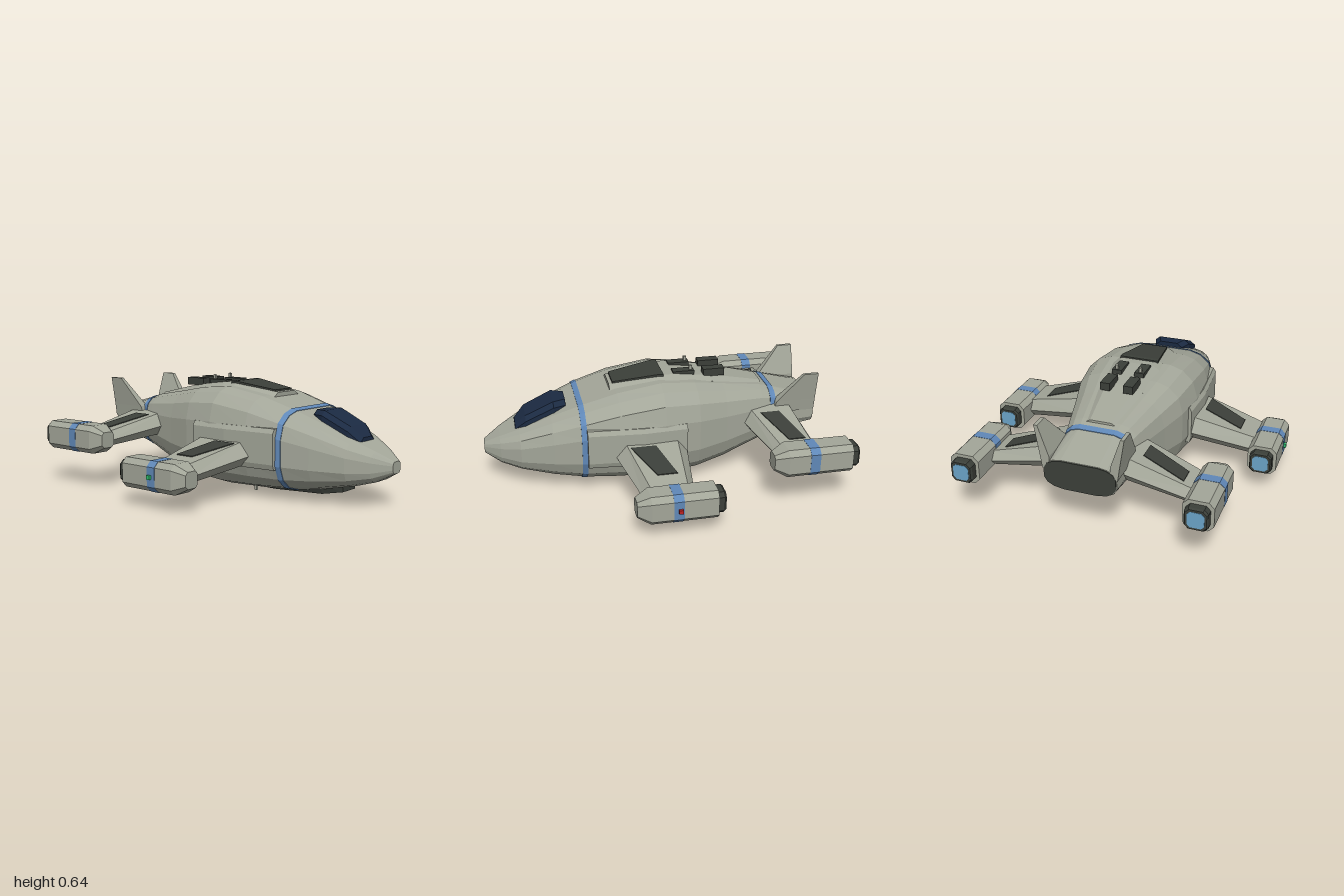
import * as THREE from 'three';

const mat = (color) => new THREE.MeshStandardMaterial({ color, flatShading: true });
const HULL = mat(0xa3a699), DARK = mat(0x3b3f39), STRIPE = mat(0x6088b8), GLASS = mat(0x1b2a42);
const GLOW = mat(0x6aa3c8), RED = mat(0xc02020), GREEN = mat(0x30c070);
const lerp = THREE.MathUtils.lerp;

// Skin a list of equal-length rings of [x, y, z] and cap both ends
function loft(name, rings, material) {
  const n = rings[0].length, pos = rings.flat(2), idx = [];
  for (let i = 0; i < rings.length - 1; i++) {
    for (let j = 0; j < n; j++) {
      const a = i * n + j, b = i * n + (j + 1) % n;
      idx.push(a, a + n, b, b, a + n, b + n);
    }
  }
  const last = (rings.length - 1) * n;
  for (let j = 1; j < n - 1; j++) idx.push(0, j, j + 1, last, last + j + 1, last + j);
  // Turn the faces outward whatever the direction of the rings
  const p = (i) => new THREE.Vector3().fromArray(pos, i * 3);
  let volume = 0;
  for (let i = 0; i < idx.length; i += 3) volume += p(idx[i]).dot(p(idx[i + 1]).cross(p(idx[i + 2])));
  if (volume < 0) idx.reverse();
  let geo = new THREE.BufferGeometry();
  geo.setAttribute('position', new THREE.Float32BufferAttribute(pos, 3));
  geo.setIndex(idx);
  geo = geo.toNonIndexed();
  geo.computeVertexNormals();
  const mesh = new THREE.Mesh(geo, material);
  mesh.name = name;
  return mesh;
}

function box(name, x, y, z, w, h, d, material) {
  const mesh = new THREE.Mesh(new THREE.BoxGeometry(w, h, d), material);
  mesh.position.set(x, y, z);
  mesh.name = name;
  return mesh;
}

// Hull stations: z, half width, top, bottom
const STATIONS = [
  [1, 0.04, 0.25, 0.185], [0.91, 0.12, 0.3, 0.135], [0.8, 0.195, 0.35, 0.105], [0.62, 0.262, 0.43, 0.07],
  [0.45, 0.312, 0.495, 0.048], [0.25, 0.34, 0.555, 0.037], [0, 0.345, 0.595, 0.03], [-0.2, 0.32, 0.577, 0.045],
  [-0.37, 0.27, 0.545, 0.08], [-0.6, 0.21, 0.505, 0.16], [-0.67, 0.192, 0.485, 0.185], [-0.91, 0.2, 0.42, 0.25],
];
// Half of the hull section: fraction of half width, fraction of height
const SECTION = [[0.45, 0], [0.72, 0.055], [0.91, 0.17], [1, 0.34], [1, 0.67], [0.92, 0.85], [0.74, 0.955], [0.52, 1]];

function hullRing(z, grow = 0) {
  const i = Math.max(0, STATIONS.findIndex((s, k) => k < STATIONS.length - 1 && z >= STATIONS[k + 1][0]));
  const a = STATIONS[i], b = STATIONS[i + 1], t = (a[0] - z) / (a[0] - b[0]);
  const [w, top, bottom] = [1, 2, 3].map((k) => lerp(a[k], b[k], t));
  const half = SECTION.map(([u, v]) => [u * (w + grow), lerp(bottom - grow, top + grow, v), z]);
  return [...half, ...half.map(([x, y]) => [-x, y, z]).reverse()];
}

// Raised panel section with chamfered upper edges
const raisedRing = (z, w, top, base, inset = 0.04) => [
  [w, base, z], [w, top - 0.025, z], [w - inset, top, z], [inset - w, top, z], [-w, top - 0.025, z], [-w, base, z]];

// Square section with cut corners
function podRing(x, y, z, h, c) {
  return [[h, c - h], [h, h - c], [h - c, h], [c - h, h], [-h, h - c], [-h, c - h], [c - h, -h], [h - c, -h]]
    .map(([u, v]) => [x + u, y + v, z]);
}

function pod(name, x, y, front, back) {
  const g = new THREE.Group();
  g.name = name;
  const tube = (part, zs, hs, m) => g.add(loft(part, zs.map((z, i) => podRing(x, y, z, hs[i], hs[i] * 0.36)), m));
  const mid = (front + back) / 2;
  tube('podBody', [front, front - 0.07, back + 0.045], [0.045, 0.081, 0.081], HULL);
  tube('podNozzle', [back + 0.06, back + 0.01, back], [0.062, 0.062, 0.055], DARK);
  tube('podGlow', [back + 0.01, back - 0.002], [0.044, 0.044], GLOW);
  tube('podStripe', [mid + 0.05, mid - 0.005], [0.0825, 0.0825], STRIPE);
  return g;
}

// Wing ends: x, front z, back z, top, bottom. Window corners: x, front z, back z
function wing(name, side, root, tip, windowEnds) {
  const g = new THREE.Group();
  g.name = name;
  const ring = ([x, f, b, top, bot]) => {
    const mid = lerp(bot, top, 0.45), c = (f - b) * 0.14;
    return [[f, mid], [f - c, top], [b + c, top], [b, mid], [b + c, bot], [f - c, bot]].map(([z, y]) => [x * side, y, z]);
  };
  g.add(loft('wingPanel', [ring(root), ring(tip)], HULL));
  const topAt = (x) => lerp(root[3], tip[3], (x - root[0]) / (tip[0] - root[0]));
  const pane = (dy) => windowEnds.flatMap(([x, f, b], i) => {
    const ends = [[x * side, topAt(x) + dy, f], [x * side, topAt(x) + dy, b]];
    return i ? ends.reverse() : ends;
  });
  g.add(loft('wingWindow', [pane(-0.01), pane(0.005)], DARK));
  return g;
}

export function createModel() {
  const ship = new THREE.Group();
  ship.name = 'shuttle';

  // Hull, painted bands and tail plate
  ship.add(loft('hull', STATIONS.map((s) => hullRing(s[0])), HULL));
  ship.add(loft('frontStripe', [hullRing(0.47, 0.003), hullRing(0.45, 0.003), hullRing(0.44, 0.003)], STRIPE));
  ship.add(loft('rearStripe', [hullRing(-0.65, 0.003), hullRing(-0.67, 0.003), hullRing(-0.685, 0.003)], STRIPE));
  ship.add(loft('tailPlate', [hullRing(-0.9, -0.004), hullRing(-0.9099, -0.004).map(([x, y]) => [x, y, -0.914])], DARK));

  // Canopy
  ship.add(loft('canopy', [[0.82, 0.07, 0.362], [0.76, 0.105, 0.42], [0.6, 0.112, 0.493], [0.53, 0.085, 0.492]]
    .map(([z, w, t]) => raisedRing(z, w, t, t - 0.09, 0.03)), GLASS));

  // Raised spine with its window and hatches
  const spine = [[0.28, 0.115, 0.57], [0, 0.145, 0.612], [-0.08, 0.143, 0.612], [-0.31, 0.126, 0.582], [-0.62, 0.1, 0.512]];
  ship.add(loft('spine', spine.map(([z, w, t]) => raisedRing(z, w, t, t - 0.06)), HULL));
  const pane = (dy) => [[0.075, 0.575, 0.26], [0.112, 0.612, 0], [0.115, 0.612, -0.03]];
  const windowRing = ([w, y, z]) => [[w, y - 0.01, z], [w, y + 0.008, z], [-w, y + 0.008, z], [-w, y - 0.01, z]];
  ship.add(loft('spineWindow', pane().map(windowRing), DARK));

  // Belly plate
  ship.add(loft('bellyPlate', [[0.71, 0.07, 0.055], [0.6, 0.115, 0.037], [0.3, 0.125, 0.024], [-0.1, 0.125, 0.024],
    [-0.25, 0.115, 0.045], [-0.37, 0.075, 0.07]].map(([z, w, y]) =>
    [[w * 0.85, y, z], [w, y + 0.05, z], [-w, y + 0.05, z], [-w * 0.85, y, z]]), DARK));

  for (const side of [1, -1]) {
    const tag = side > 0 ? 'left' : 'right';
    for (const z of [-0.33, -0.152]) {
      ship.add(box(tag + 'Hatch', side * 0.066, 0.598, z, 0.056, 0.044, 0.124, DARK));
    }
    ship.add(box(tag + 'TopAntenna', side * 0.07, 0.625, -0.195, 0.016, 0.04, 0.016, HULL));
    ship.add(box(tag + 'BellyAntenna', side * 0.11, 0.025, 0.15, 0.016, 0.05, 0.016, HULL));

    // Wing root fairing along the hull side
    ship.add(loft(tag + 'Fairing', [[0.44, 0.336], [0.12, 0.361], [-0.12, 0.349]].map(([z, x]) =>
      [[0.25, 0.18], [x - 0.01, 0.18], [x, 0.21], [x, 0.38], [x - 0.015, 0.405], [0.25, 0.405]]
        .map(([u, v]) => [side * u, v, z])), HULL));

    // Wings and engine pods
    ship.add(wing(tag + 'FrontWing', side, [0.33, 0.29, -0.12, 0.32, 0.185], [0.72, 0.2, -0.07, 0.232, 0.13],
      [[0.38, 0.21, 0.07], [0.61, 0.11, 0]]));
    ship.add(wing(tag + 'RearWing', side, [0.16, -0.46, -0.8, 0.415, 0.28], [0.59, -0.58, -0.82, 0.31, 0.23],
      [[0.26, -0.57, -0.68], [0.5, -0.66, -0.755]]));
    ship.add(pod(tag + 'FrontPod', side * 0.775, 0.178, 0.26, -0.21));
    ship.add(pod(tag + 'RearPod', side * 0.635, 0.288, -0.52, -0.998));
    ship.add(box(tag + 'NavigationLight', side * 0.861, 0.178, 0.04, 0.022, 0.022, 0.022, side > 0 ? RED : GREEN));

    // Tail fin leaning outward
    const finRing = (y, x0, x1, f, b) => [[x0, f], [x1, f], [x1, b], [x0, b]].map(([x, z]) => [side * x, y, z]);
    ship.add(loft(tag + 'TailFin', [finRing(0.36, 0.165, 0.205, -0.66, -0.912), finRing(0.43, 0.165, 0.215, -0.68, -0.912),
      finRing(0.6, 0.222, 0.242, -0.825, -0.912)], HULL));
  }
  return ship;
}
